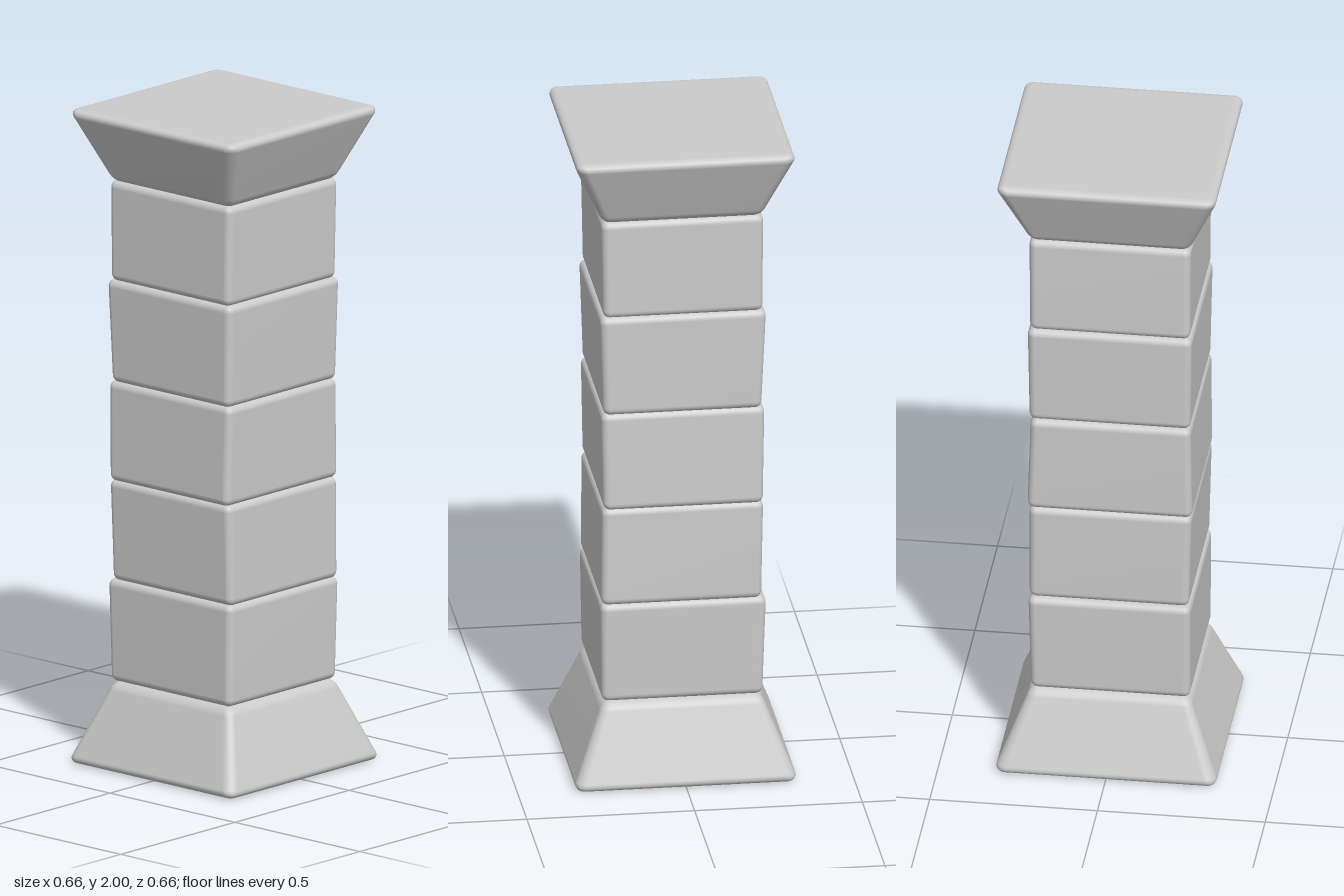
import * as THREE from 'three';
import { mergeVertices } from 'three/addons/utils/BufferGeometryUtils.js';
import { RoundedBoxGeometry } from 'three/addons/geometries/RoundedBoxGeometry.js';

const material = new THREE.MeshStandardMaterial({ color: 0xcccccc });

// Rounded stone from y0 to y1. Each footprint is [xMin, xMax, zMin, zMax];
// the stone blends from the bottom footprint to the top one.
function stone(name, y0, y1, bottom, top, radius) {
  const h = y1 - y0;
  const w = 0.5;
  let geo = new RoundedBoxGeometry(w, h, w, 4, radius);
  geo.deleteAttribute('normal');
  geo.deleteAttribute('uv');
  geo = mergeVertices(geo, 1e-5);
  const p = geo.attributes.position;
  for (let i = 0; i < p.count; i++) {
    const t = p.getY(i) / h + 0.5;
    const [xa, xb, za, zb] = bottom.map((b, k) => THREE.MathUtils.lerp(b, top[k], t));
    p.setXYZ(
      i,
      THREE.MathUtils.lerp(xa, xb, p.getX(i) / w + 0.5),
      y0 + t * h,
      THREE.MathUtils.lerp(za, zb, p.getZ(i) / w + 0.5)
    );
  }
  geo.computeVertexNormals();
  const mesh = new THREE.Mesh(geo, material);
  mesh.name = name;
  return mesh;
}

const square = (r) => [-r, r, -r, r];

export function createModel() {
  const pillar = new THREE.Group();
  pillar.name = 'stonePillar';

  // Flared foot and capital
  pillar.add(stone('base', 0, 0.25, square(0.337), square(0.236), 0.026));
  pillar.add(stone('capital', 1.775, 2, square(0.236), square(0.335), 0.026));

  // Stacked shaft blocks, each slightly irregular
  const blocks = [
    [0.25, 0.562, [-0.24, 0.24, -0.235, 0.24], [-0.25, 0.245, -0.242, 0.242]],
    [0.558, 0.867, [-0.236, 0.242, -0.24, 0.236], [-0.242, 0.24, -0.24, 0.244]],
    [0.863, 1.168, [-0.24, 0.236, -0.246, 0.246], [-0.246, 0.242, -0.236, 0.242]],
    [1.164, 1.477, [-0.236, 0.236, -0.24, 0.24], [-0.25, 0.246, -0.244, 0.246]],
    [1.473, 1.78, [-0.24, 0.236, -0.238, 0.24], [-0.242, 0.242, -0.24, 0.242]],
  ];
  blocks.forEach(([y0, y1, bottom, top], i) => {
    pillar.add(stone(`shaftBlock${i + 1}`, y0, y1, bottom, top, 0.022));
  });

  return pillar;
}
